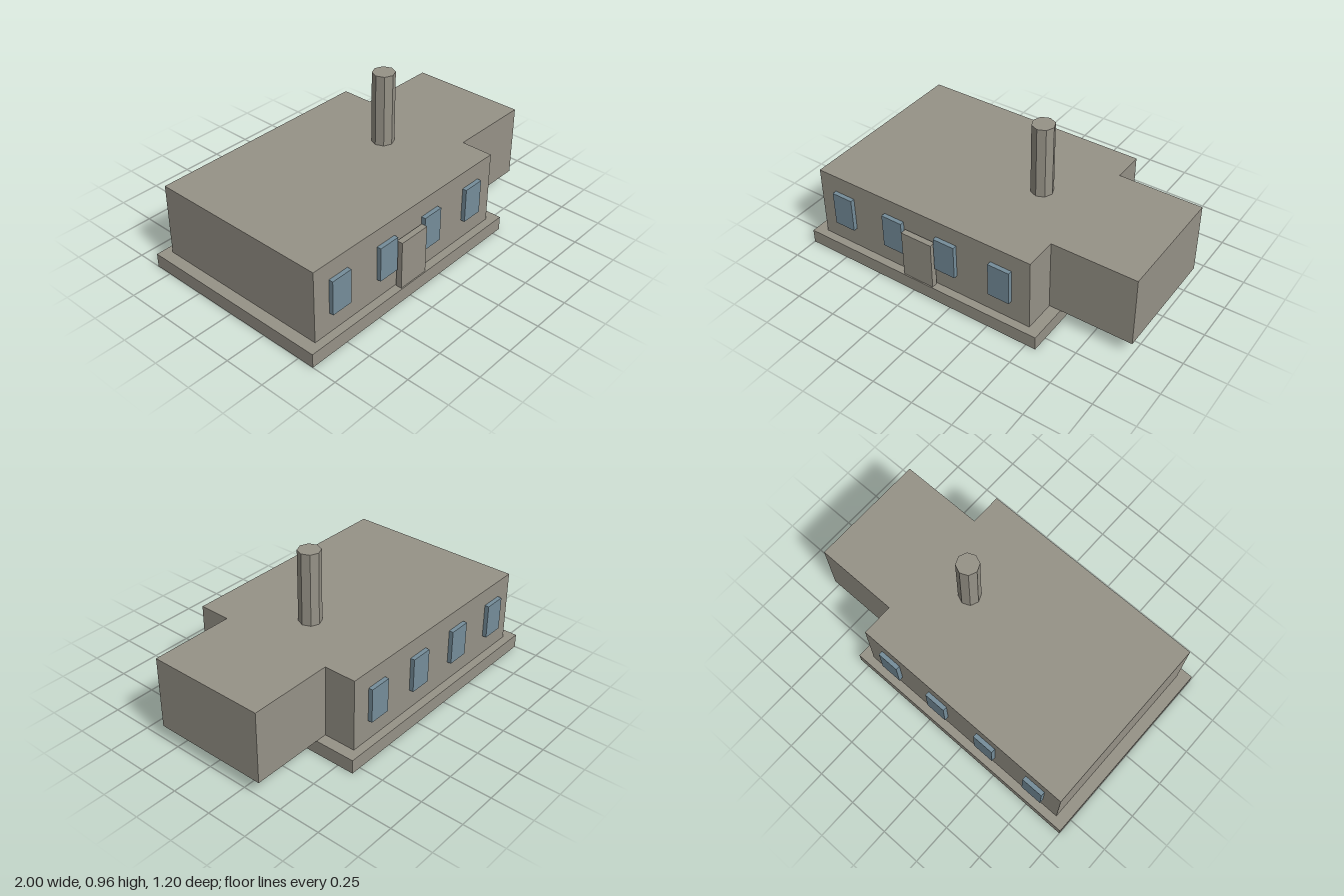
import * as THREE from 'three';

export function createModel() {
  const group = new THREE.Group();
  const concrete = new THREE.MeshStandardMaterial({ color: 0x969287 });
  concrete.name = 'concrete grey';
  concrete.flatShading = true;
  const glass = new THREE.MeshStandardMaterial({ color: 0x758d9a });
  glass.name = 'window blue';

  // Box given by its limits along each axis
  function box(name, material, [x0, x1], [y0, y1], [z0, z1]) {
    const mesh = new THREE.Mesh(new THREE.BoxGeometry(x1 - x0, y1 - y0, z1 - z0), material);
    mesh.position.set((x0 + x1) / 2, (y0 + y1) / 2, (z0 + z1) / 2);
    mesh.name = name;
    group.add(mesh);
  }

  // Foundation, main hall and side annex
  box('foundation', concrete, [-1, 0.56], [0, 0.085], [-0.6, 0.6]);
  box('mainHall', concrete, [-0.93, 0.49], [0.085, 0.525], [-0.55, 0.55]);
  box('annex', concrete, [0.49, 1], [0.088, 0.525], [-0.356, 0.356]);

  // Door slab standing just clear of the front wall
  box('door', concrete, [-0.32, -0.12], [0.085, 0.38], [0.557, 0.593]);

  // Four windows on each long wall
  for (let i = 0; i < 4; i++) {
    const x = -0.757 + i * 0.355;
    box('frontWindow', glass, [x - 0.067, x + 0.067], [0.21, 0.42], [0.55, 0.576]);
    box('backWindow', glass, [x - 0.067, x + 0.067], [0.21, 0.42], [-0.576, -0.55]);
  }

  // Octagonal chimney on the roof
  const chimney = new THREE.Mesh(new THREE.CylinderGeometry(0.066, 0.066, 0.437, 8), concrete);
  chimney.position.set(0.205, 0.7435, 0);
  chimney.name = 'chimney';
  group.add(chimney);

  return group;
}
